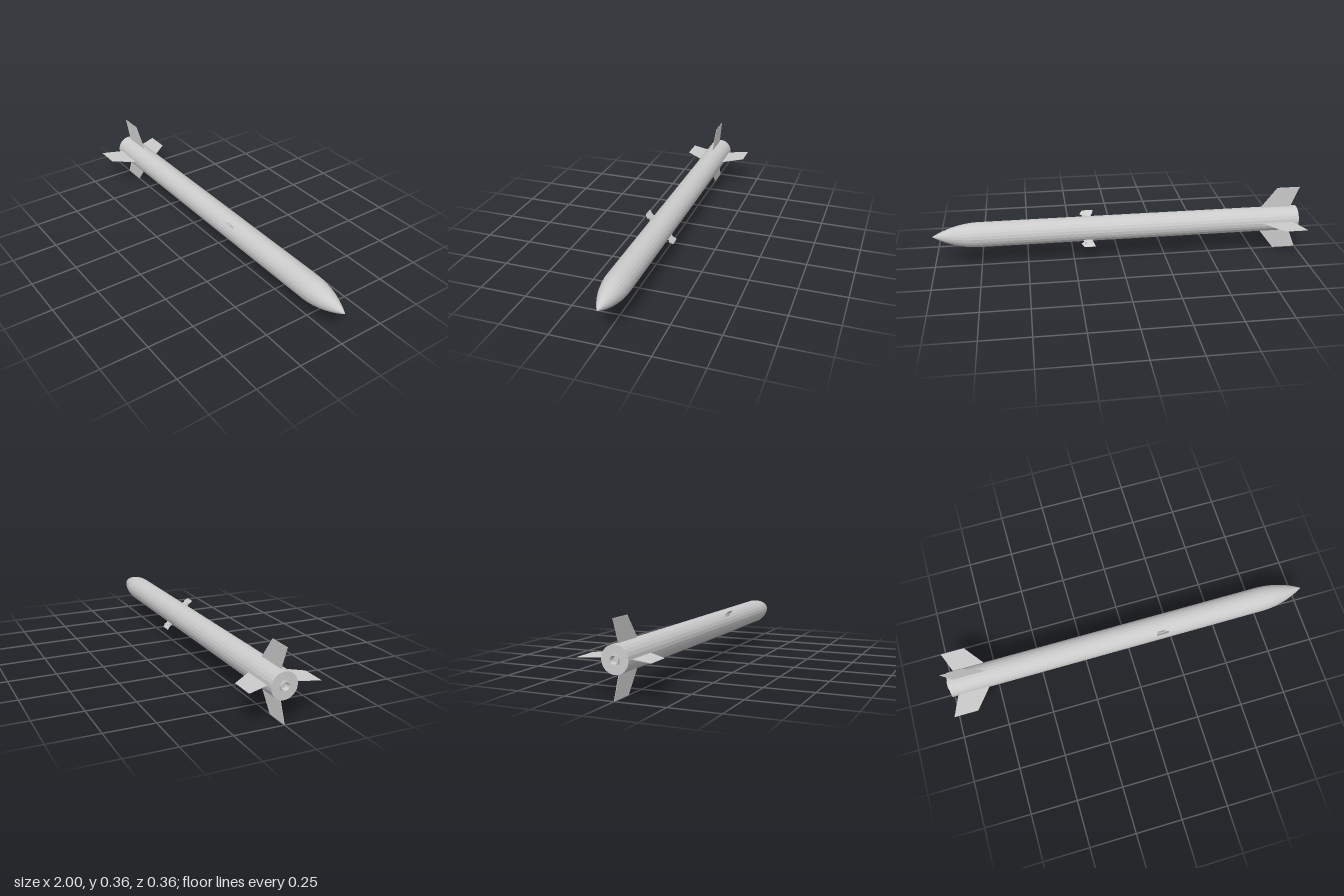
import * as THREE from 'three';

const AXIS_Y = 0.18;   // height of the body axis
const R = 0.067;       // body radius
const SIDES = 24;

const metal = new THREE.MeshStandardMaterial({ color: 0xcccccc, flatShading: true });

// Profile of [radius, x] pairs, from tail to nose, turned around the x axis
function turned(name, profile) {
  const geo = new THREE.LatheGeometry(profile.map(([r, x]) => new THREE.Vector2(r, x)), SIDES);
  geo.rotateZ(-Math.PI / 2);
  const mesh = new THREE.Mesh(geo, metal);
  mesh.name = name;
  return mesh;
}

// Thin plate from [x, radius] corners, centred on its own plane
function plate(name, corners, thickness) {
  const shape = new THREE.Shape(corners.map(([x, r]) => new THREE.Vector2(x, r)));
  const geo = new THREE.ExtrudeGeometry(shape, { depth: thickness, bevelEnabled: false });
  geo.translate(0, 0, -thickness / 2);
  const mesh = new THREE.Mesh(geo, metal);
  mesh.name = name;
  return mesh;
}

function box(name, w, h, d, x, y, z) {
  const mesh = new THREE.Mesh(new THREE.BoxGeometry(w, h, d), metal);
  mesh.name = name;
  mesh.position.set(x, y, z);
  return mesh;
}

// Small swept blade on a clamp-like mount
function makeSideBlade() {
  const g = new THREE.Group();
  g.name = 'sideBlade';
  g.add(plate('blade', [[0.155, 0.072], [0.195, 0.072], [0.213, 0.085], [0.198, 0.106], [0.138, 0.106], [0.145, 0.085]], 0.002));
  g.add(box('mountBase', 0.05, 0.01, 0.012, 0.175, 0.067, 0));
  for (const side of [-1, 1]) {
    g.add(box('mountCheek', 0.04, 0.016, 0.003, 0.175, 0.077, side * 0.004));
    for (const x of [0.163, 0.187]) g.add(box('mountBolt', 0.006, 0.006, 0.003, x, 0.078, side * 0.007));
  }
  return g;
}

export function createModel() {
  const model = new THREE.Group();
  model.name = 'rocket';
  const rocket = new THREE.Group();
  rocket.name = 'airframe';
  rocket.position.y = AXIS_Y;
  model.add(rocket);

  // Body tube with a flat tail
  rocket.add(turned('body', [[0.02, -0.988], [R, -0.988], [R, 0.75]]));

  // Rounded, pointed nose
  const nose = [];
  const steps = 12, length = 0.25;
  const rho = (R * R + length * length) / (2 * R);
  for (let i = 0; i <= steps; i++) {
    const x = length * i / steps;
    nose.push([Math.max(0, Math.sqrt(rho * rho - x * x) + R - rho), 0.75 + x]);
  }
  rocket.add(turned('nose', nose));

  // Short hollow nozzle
  rocket.add(turned('nozzle', [[0, -0.975], [0.014, -0.975], [0.019, -0.998], [0.025, -0.998], [0.025, -0.985]]));

  // Four swept tail fins
  for (let i = 0; i < 4; i++) {
    const fin = plate('tailFin', [[-0.952, 0.06], [-0.78, 0.06], [-0.873, 0.18], [-1, 0.18]], 0.002);
    fin.rotation.x = i * Math.PI / 2;
    rocket.add(fin);
  }

  // Two opposed blades on the diagonal
  for (let i = 0; i < 2; i++) {
    const blade = makeSideBlade();
    blade.rotation.x = Math.PI / 4 + i * Math.PI;
    rocket.add(blade);
  }
  return model;
}
